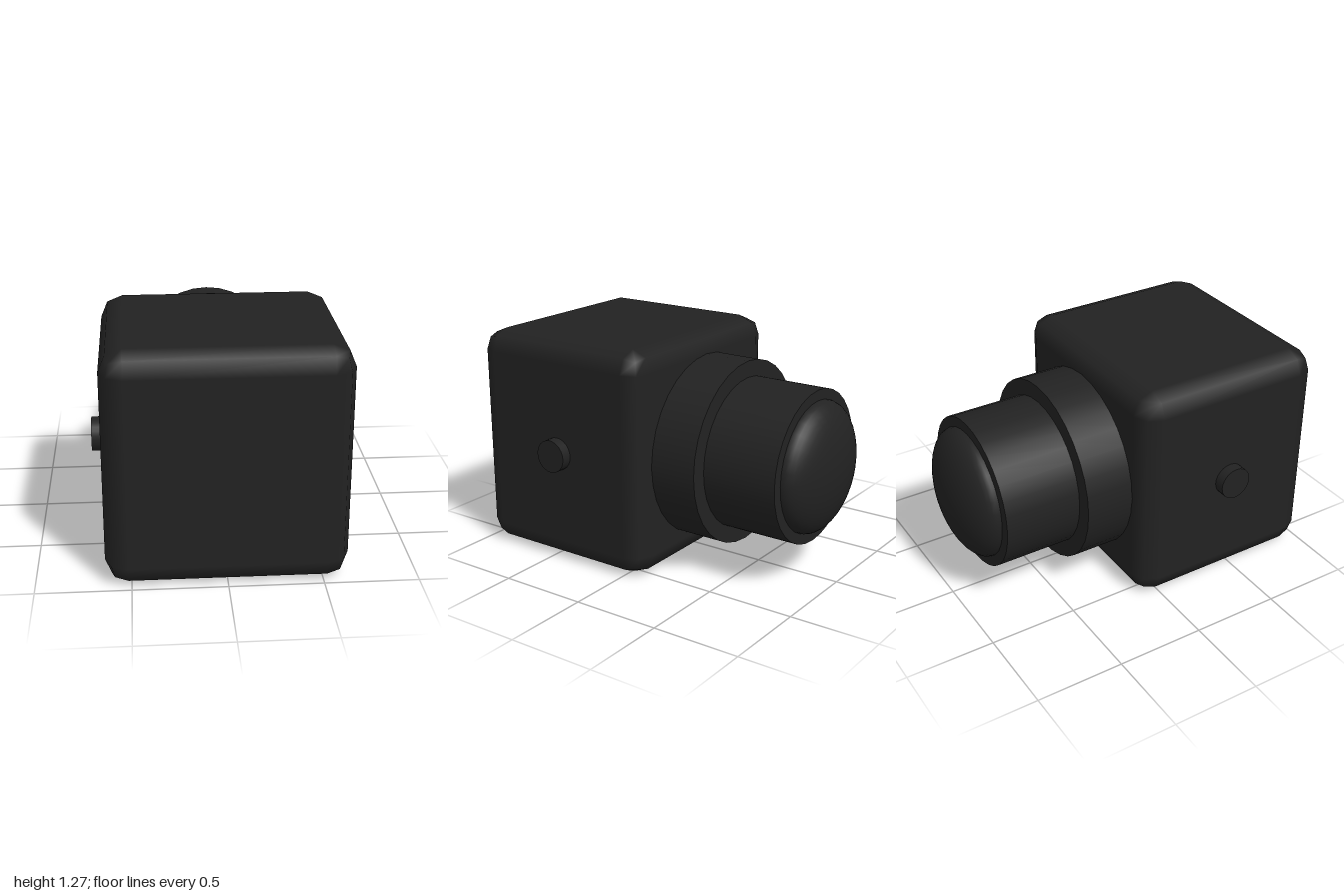
import * as THREE from 'three';
import { RoundedBoxGeometry } from 'three/addons/geometries/RoundedBoxGeometry.js';

export function createModel() {
  const group = new THREE.Group();
  const black = new THREE.MeshStandardMaterial({ color: 0x222222 });
  black.name = 'matte black';
  const midY = 0.637;

  const add = (name, geometry, x, y, z) => {
    const mesh = new THREE.Mesh(geometry, black);
    mesh.name = name;
    mesh.position.set(x, y, z);
    group.add(mesh);
    return mesh;
  };

  // cylinder along z between two depths
  const barrel = (name, radius, z0, z1) =>
    add(name, new THREE.CylinderGeometry(radius, radius, z0 - z1, 32).rotateX(Math.PI / 2), 0, midY, (z0 + z1) / 2);

  // housing with bevelled edges
  add('housing', new RoundedBoxGeometry(1.274, 1.274, 1.135, 1, 0.12), 0, midY, 0.4325);

  // stepped lens at the back
  barrel('lensMount', 0.522, -0.1, -0.408);
  barrel('lensBarrel', 0.429, -0.38, -0.843);

  // shallow domed glass
  const dome = new THREE.SphereGeometry(0.37, 32, 12, 0, Math.PI * 2, 0, Math.PI / 2);
  dome.scale(1, 0.157 / 0.37, 1).rotateX(-Math.PI / 2);
  add('lensDome', dome, 0, midY, -0.843);

  // round pivot pins on both sides
  for (const side of [1, -1]) {
    const pin = new THREE.CylinderGeometry(0.093, 0.093, 0.1, 24).rotateZ(Math.PI / 2);
    add(side > 0 ? 'leftPin' : 'rightPin', pin, side * 0.647, midY, 0.4325);
  }

  return group;
}
